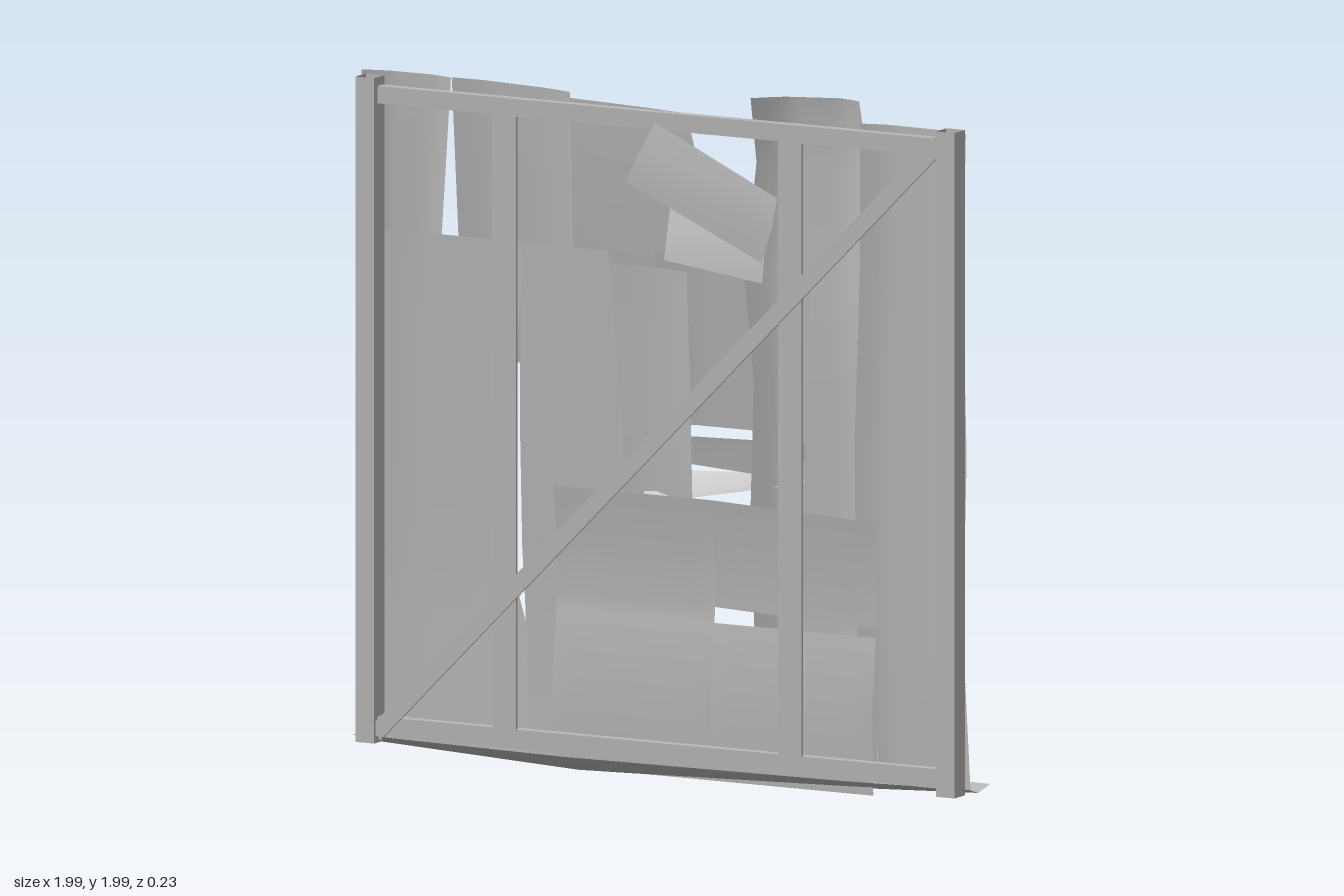
import * as THREE from 'three';

const steel = new THREE.MeshStandardMaterial({ color: 0xb8b8b8, side: THREE.DoubleSide });
steel.name = 'grey steel';

// Surface through a grid of points, one array of Vector3 per row
function grid(name, rows) {
  const cols = rows[0].length, index = [];
  for (let r = 0; r < rows.length - 1; r++) {
    for (let c = 0; c < cols - 1; c++) {
      const a = r * cols + c, b = a + 1, d = a + cols, e = d + 1;
      index.push(a, d, b, b, d, e);
    }
  }
  const geo = new THREE.BufferGeometry().setFromPoints(rows.flat());
  geo.setIndex(index);
  geo.computeVertexNormals();
  const mesh = new THREE.Mesh(geo, steel);
  mesh.name = name;
  return mesh;
}

// Bent sheet from stations [y, xRight, xLeft, z], top to bottom.
// bulge pushes the middle along z, slope and twist move the +x edge in y and z
function sheet(name, stations, { bulge = 0, slope = 0, twist = 0 } = {}) {
  return grid(name, stations.map(([y, x0, x1, z]) => {
    const row = [];
    for (let c = 0; c <= 8; c++) {
      const t = c / 8, arch = Math.min(1, 1.5 * Math.sin(Math.PI * t));
      row.push(new THREE.Vector3(x0 + (x1 - x0) * t, y + slope * t, z + twist * t + bulge * arch));
    }
    return row;
  }));
}

function bar(name, x0, x1, y0, y1, z0, z1) {
  const mesh = new THREE.Mesh(new THREE.BoxGeometry(x1 - x0, y1 - y0, z1 - z0), steel);
  mesh.position.set((x0 + x1) / 2, (y0 + y1) / 2, (z0 + z1) / 2);
  mesh.name = name;
  return mesh;
}

// Open-ended square tube
function post(name, x) {
  const geo = new THREE.CylinderGeometry(0.0424, 0.0424, 1.91, 4, 1, true).rotateY(Math.PI / 4).toNonIndexed();
  geo.computeVertexNormals();
  const mesh = new THREE.Mesh(geo, steel);
  mesh.position.set(x, 0.99, 0.05);
  mesh.name = name;
  return mesh;
}

function frame() {
  const g = new THREE.Group();
  g.name = 'frame';
  g.add(post('rightPost', -0.938), post('leftPost', 0.932));
  g.add(bar('topRail', -0.93, 0.92, 1.87, 1.92, 0.03, 0.06));
  g.add(bar('bottomRail', -0.93, 0.92, 0.055, 0.11, 0.03, 0.06));
  // Flat uprights and the diagonal brace between opposite corners
  for (const x of [-0.5, 0.42]) g.add(bar('upright', x - 0.038, x + 0.038, 0.11, 1.87, 0.052, 0.06));
  const brace = bar('brace', -1.295, 1.295, -0.024, 0.024, 0, 0.008);
  brace.rotation.z = Math.atan2(1.84, 1.81);
  brace.position.set(-0.002, 0.985, 0.067);
  g.add(brace);
  return g;
}

function longSheets() {
  const g = new THREE.Group();
  g.name = 'longSheets';
  g.add(sheet('leftSheet', [
    [1.93, 0.61, 0.96, -0.005], [1.5, 0.61, 0.95, -0.005], [1.0, 0.59, 0.96, -0.01],
    [0.5, 0.6, 0.95, -0.005], [0.04, 0.62, 0.97, -0.015]], { bulge: -0.025, twist: 0.015 }));
  g.add(sheet('innerLeftSheet', [
    [1.97, 0.25, 0.6, -0.02], [1.78, 0.25, 0.61, -0.055], [1.45, 0.23, 0.61, -0.02],
    [1.15, 0.25, 0.62, -0.04], [0.8, 0.25, 0.64, -0.02], [0.5, 0.25, 0.65, -0.04],
    [0.04, 0.27, 0.66, -0.02]], { bulge: -0.045, slope: 0.02 }));
  g.add(sheet('middleSheet', [
    [1.455, -0.47, 0.05, -0.01], [1.1, -0.48, 0.05, -0.03], [0.63, -0.47, 0.05, -0.05],
    [0.5, -0.47, 0.05, -0.07], [0.2, -0.5, 0.04, -0.04], [0.03, -0.52, 0.03, -0.05]], { bulge: -0.03 }));
  g.add(sheet('middleFrontStrip', [
    [1.5, -0.47, -0.19, 0.015], [1.0, -0.48, -0.15, 0.005], [0.63, -0.475, -0.14, 0.0],
    [0.45, -0.47, -0.14, -0.01], [0.03, -0.47, -0.14, 0.0]]));
  g.add(sheet('rightSheet', [
    [1.5, -0.93, -0.46, 0.015], [1.15, -0.95, -0.49, 0.01], [0.9, -0.95, -0.52, 0.005],
    [0.6, -0.94, -0.52, 0.0], [0.4, -0.95, -0.46, 0.0], [0.03, -0.96, -0.45, 0.01]], { bulge: -0.012 }));
  return g;
}

function patches() {
  const g = new THREE.Group();
  g.name = 'patches';
  // Upper row
  g.add(sheet('upperRightPatch', [
    [1.95, -0.995, -0.71, -0.005], [1.5, -0.995, -0.75, -0.025], [1.15, -0.995, -0.78, -0.045]],
    { bulge: -0.02, twist: -0.005 }));
  g.add(sheet('upperInnerPatch', [
    [1.95, -0.71, -0.33, -0.015], [1.5, -0.7, -0.33, -0.035], [1.14, -0.68, -0.35, -0.07]],
    { bulge: -0.015, slope: -0.01 }));
  g.add(sheet('upperMiddlePatch', [
    [1.92, -0.53, 0.02, -0.045], [1.65, -0.52, 0.08, -0.06], [1.38, -0.51, 0.13, -0.09]],
    { bulge: -0.01, twist: -0.02, slope: -0.02 }));
  // Centre
  g.add(sheet('centrePatch', [
    [1.5, -0.07, 0.44, -0.04], [1.25, -0.07, 0.41, -0.06], [1.0, -0.08, 0.36, -0.085]],
    { bulge: -0.02 }));
  // Folded strip: upright face, then a flap that tapers to the +x end
  const strip = (...lines) => g.add(grid('foldedStrip', lines.map(([yRight, yLeft, z]) =>
    [new THREE.Vector3(-0.12, yRight, z), new THREE.Vector3(0.4, yLeft, z)])));
  strip([0.97, 0.985, -0.065], [0.9, 0.87, -0.08]);
  strip([0.86, 0.89, -0.11], [0.77, 0.87, -0.05]);
  // Low front cover with a long slit
  const low = [[0.46, 0.01], [0.25, 0.032], [0.01, 0.025]];
  const high = [[0.815, 0.028], [0.65, 0.008], [0.505, 0.006]];
  const cover = (x0, x1, list, opt) => g.add(sheet('frontCover', list.map(([y, z]) => [y, x0, x1, z]), opt));
  cover(-0.36, 0.15, [...high, ...low]);
  cover(0.15, 0.67, high, { slope: -0.02 });
  cover(0.15, 0.67, low);
  return g;
}

// Folded scrap hanging on the front
function frontScrap() {
  const g = new THREE.Group();
  g.name = 'frontScrap';
  const v = (x, y, z) => new THREE.Vector3(x, y, z);
  g.add(grid('tiltedScrap', [
    [v(0.0, 1.895, 0.085), v(0.38, 1.705, 0.06)],
    [v(-0.04, 1.81, 0.105), v(0.37, 1.62, 0.075)],
    [v(-0.08, 1.725, 0.115), v(0.34, 1.52, 0.08)]]));
  g.add(grid('lowerScrap', [
    [v(0.02, 1.7, 0.02), v(0.34, 1.69, 0.03)],
    [v(0.02, 1.58, 0.05), v(0.34, 1.57, 0.06)],
    [v(0.02, 1.5, 0.07), v(0.34, 1.46, 0.075)]]));
  return g;
}

// Bent sill plate under the frame: [x, front z, back z, fold y]
function sill() {
  const stations = [
    [-0.98, 0.07, -0.1, 0.03], [-0.28, 0.112, -0.1, 0.005], [0.6, 0.08, -0.09, 0.025], [0.99, 0.04, -0.08, 0.04]];
  return grid('sillPlate', [0, 0.4, 1].map((t) => stations.map(([x, front, back, low]) =>
    new THREE.Vector3(x, t === 0.4 ? low : 0.055, front + (back - front) * t))));
}

export function createModel() {
  const model = new THREE.Group();
  model.name = 'scrapWallPanel';
  model.add(frame(), longSheets(), patches(), frontScrap(), sill());
  return model;
}
